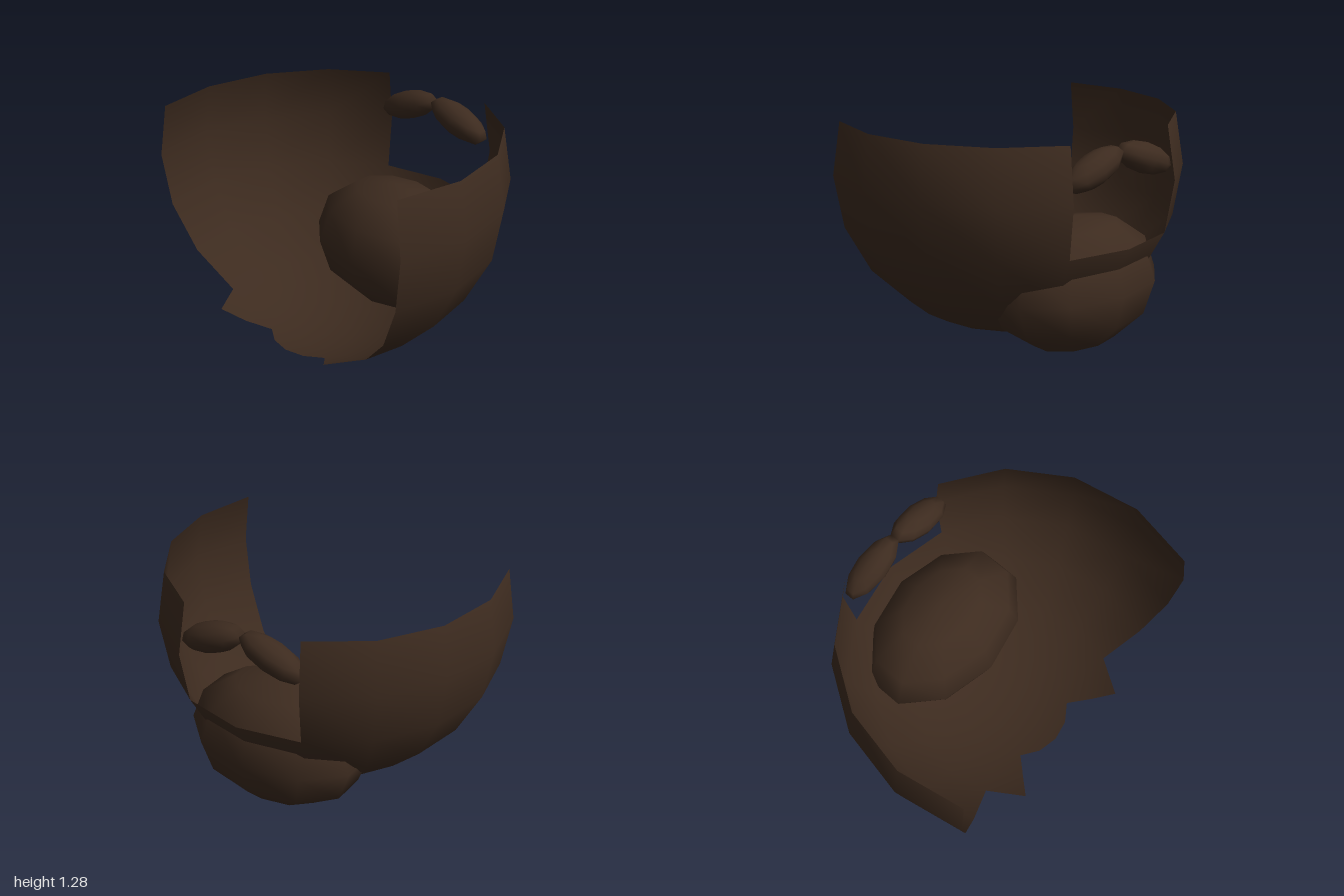
import * as THREE from 'three';

const rad = THREE.MathUtils.degToRad;

export function createModel() {
  const model = new THREE.Group();
  const hair = new THREE.MeshStandardMaterial({ color: 0x3d2b1f, side: THREE.DoubleSide });
  hair.name = 'dark brown hair';

  // Beard shell: patches of one 16 x 10 sided ellipsoid, open at the mouth and the back
  const shell = new THREE.Group();
  shell.name = 'beardShell';
  shell.position.set(0, 0.98, 0.28);
  shell.scale.set(1, 0.98, 1.03);
  model.add(shell);

  // from/to: degrees around from the mouth (-z); top/bottom: degrees down from the pole
  function patch(name, from, to, top, bottom) {
    const geometry = new THREE.SphereGeometry(
      1, Math.round((to - from) / 22.5), Math.round((bottom - top) / 18),
      rad(-90 - to), rad(to - from), rad(top), rad(bottom - top));
    const mesh = new THREE.Mesh(geometry, hair);
    mesh.name = name;
    shell.add(mesh);
  }
  patch('leftSideburn', 22.5, 112.5, 72, 108);
  patch('rightSideburn', -112.5, -22.5, 72, 108);
  patch('jaw', -112.5, 112.5, 108, 144);
  patch('lowerJaw', -135, 135, 144, 162);
  patch('underside', -180, 180, 162, 180);

  // Chin tuft and moustache share one coarse ball with corners on the z axis
  const ball = new THREE.SphereGeometry(1, 10, 6, Math.PI / 2);
  function tuft(name, position, scale, tilt = 0) {
    const mesh = new THREE.Mesh(ball, hair);
    mesh.name = name;
    mesh.position.set(...position);
    mesh.scale.set(...scale);
    mesh.rotation.z = tilt;
    model.add(mesh);
  }
  tuft('chinTuft', [0, 0.395, -0.295], [0.555, 0.385, 0.375]);
  for (const side of [1, -1]) {
    tuft(side > 0 ? 'leftMoustache' : 'rightMoustache',
      [0.188 * side, 1.13, -0.617], [0.212, 0.085, 0.09], rad(-20) * side);
  }
  return model;
}
